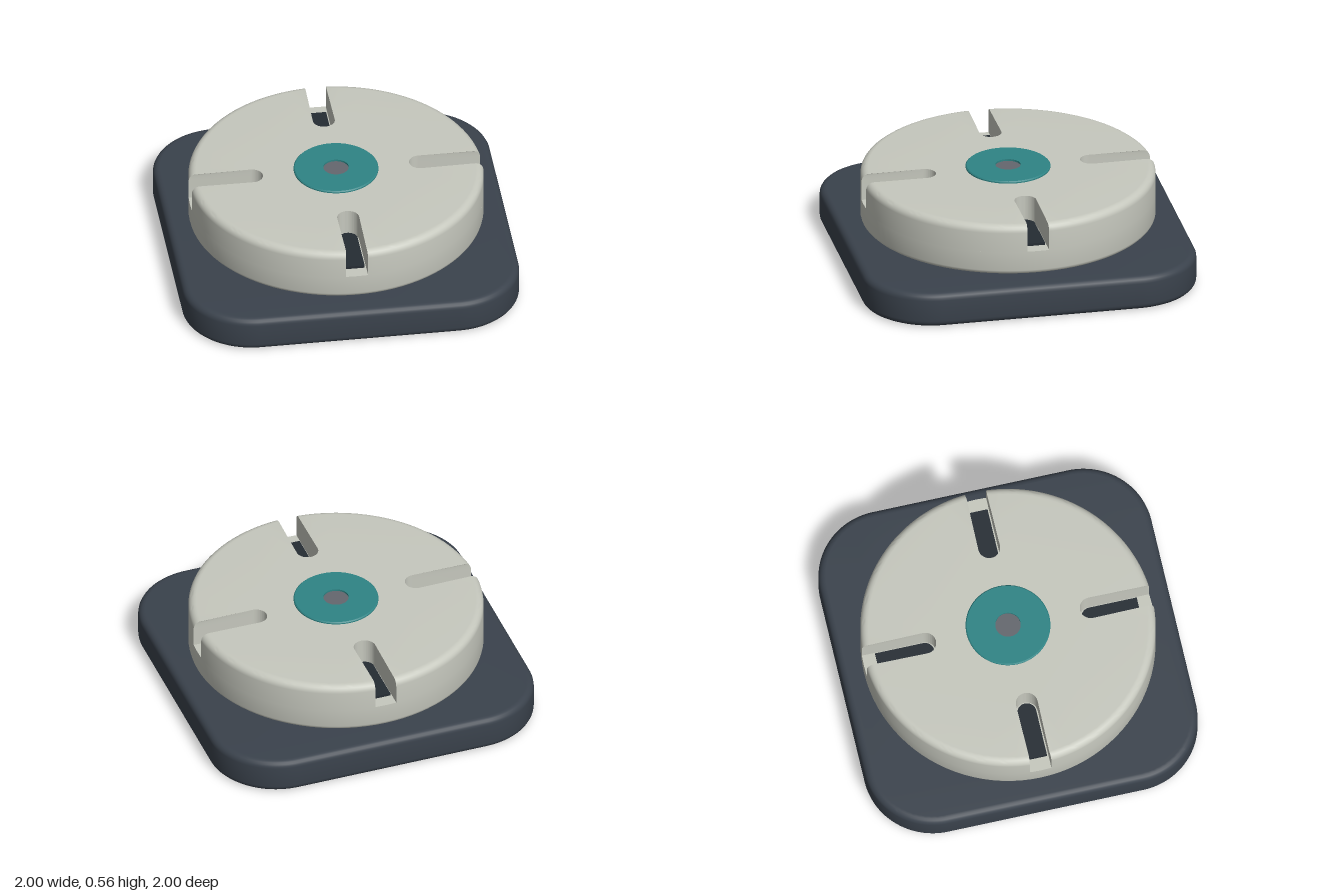
import * as THREE from 'three';
import { toCreasedNormals } from 'three/addons/utils/BufferGeometryUtils.js';

const R = 0.87;          // rotor radius
const SLOT = 0.065;      // slot half width
const FLOOR = 0.38;      // slot floor height
const TOP = 0.545;       // rotor top

function part(group, name, geometry, color) {
  const material = new THREE.MeshStandardMaterial({ color });
  const mesh = new THREE.Mesh(toCreasedNormals(geometry, 0.55), material);
  mesh.name = name;
  group.add(mesh);
  return mesh;
}

function lathe(points, segments = 96) {
  return new THREE.LatheGeometry(points.map(([r, y]) => new THREE.Vector2(r, y)), segments);
}

// Square plate with large corner radii and softened rims
function baseGeometry() {
  const bevel = 0.04, h = 1 - bevel, r = 0.37, c = h - r;
  const shape = new THREE.Shape();
  [[c, c], [-c, c], [-c, -c], [c, -c]].forEach(([x, y], i) =>
    shape.absarc(x, y, r, i * Math.PI / 2, (i + 1) * Math.PI / 2, false));
  const geo = new THREE.ExtrudeGeometry(shape, {
    depth: 0.21 - 2 * bevel, bevelThickness: bevel, bevelSize: bevel, bevelSegments: 5, curveSegments: 16,
  });
  return geo.rotateX(-Math.PI / 2).translate(0, bevel, 0);
}

// Disc with four radial slots; only its outer rim is rounded
function slottedGeometry() {
  const shape = new THREE.Shape();
  const a = Math.asin(SLOT / R), q = Math.PI / 2;
  for (let k = 0; k < 4; k++) {
    const t = (k + 1) * q;
    shape.absarc(0, 0, R, k * q + a, t - a, false);
    shape.absarc(0.5 * Math.cos(t), 0.5 * Math.sin(t), SLOT, t - q, t - 3 * q, true);
  }
  // Layers of [radius, height] up the side and round the rim
  const layers = [[R, FLOOR]], round = 0.045, n = 6;
  for (let i = 0; i <= n; i++) {
    const t = i / n * q;
    layers.push([R - round + round * Math.cos(t), TOP - round + round * Math.sin(t)]);
  }
  const steps = layers.length - 1;
  const geo = new THREE.ExtrudeGeometry(shape, { depth: steps, steps, bevelEnabled: false, curveSegments: 24 });
  const p = geo.attributes.position;
  for (let i = 0; i < p.count; i++) {
    const [limit, y] = layers[Math.round(p.getZ(i))];
    const x = p.getX(i), z = p.getY(i);
    const s = Math.min(1, limit / Math.hypot(x, z));
    p.setXYZ(i, x * s, z * s, y);
  }
  return geo.rotateX(-Math.PI / 2);
}

// Dark strip lying in a slot, round at its inner end
function inlayGeometry() {
  const w = 0.056, shape = new THREE.Shape();
  shape.moveTo(0.79, -w);
  shape.lineTo(0.79, w);
  shape.absarc(0.502, 0, w, Math.PI / 2, Math.PI * 1.5, false);
  const geo = new THREE.ExtrudeGeometry(shape, { depth: 0.016, bevelEnabled: false, curveSegments: 16 });
  return geo.rotateX(-Math.PI / 2).translate(0, FLOOR, 0);
}

export function createModel() {
  const model = new THREE.Group();
  model.name = 'slottedTurntable';

  part(model, 'basePlate', baseGeometry(), 0x3a424c);

  // Bearing between base and rotor
  part(model, 'hub', lathe([[0, 0.2], [0.105, 0.2], [0.105, 0.24], [0, 0.24]], 48), 0x3a424c);
  part(model, 'hubFlange', lathe([[0, 0.229], [0.165, 0.229], [0.165, 0.24], [0, 0.24]], 48), 0x252c33);
  part(model, 'indexPin', lathe([[0, 0.2], [0.028, 0.2], [0.028, 0.238], [0, 0.238]], 24)
    .translate(0.65, 0, 0), 0xd9622b);

  // Rotor: solid lower drum and slotted upper drum
  const rotor = new THREE.Group();
  rotor.name = 'rotor';
  model.add(rotor);
  const pale = 0xc6c8be;
  part(rotor, 'lowerDrum', lathe([[0, 0.235], [0.845, 0.235], [0.857, 0.238], [0.867, 0.248],
    [R, 0.26], [R, FLOOR], [0, FLOOR]]), pale);
  part(rotor, 'slottedDrum', slottedGeometry(), pale);
  for (let k = 0; k < 4; k++) {
    part(rotor, 'slotInlay', inlayGeometry(), 0x252c33).rotation.y = k * Math.PI / 2;
  }

  // Centre cap with a shaft end showing in its bore
  part(rotor, 'centreCap', lathe([[0.075, 0.54], [0.25, 0.54], [0.25, 0.552], [0.244, 0.558],
    [0.075, 0.558], [0.075, 0.54]], 64), 0x2e8485);
  part(rotor, 'shaftEnd', lathe([[0, 0.53], [0.075, 0.53], [0.075, 0.547], [0, 0.547]], 48), 0x64676e);

  return model;
}
